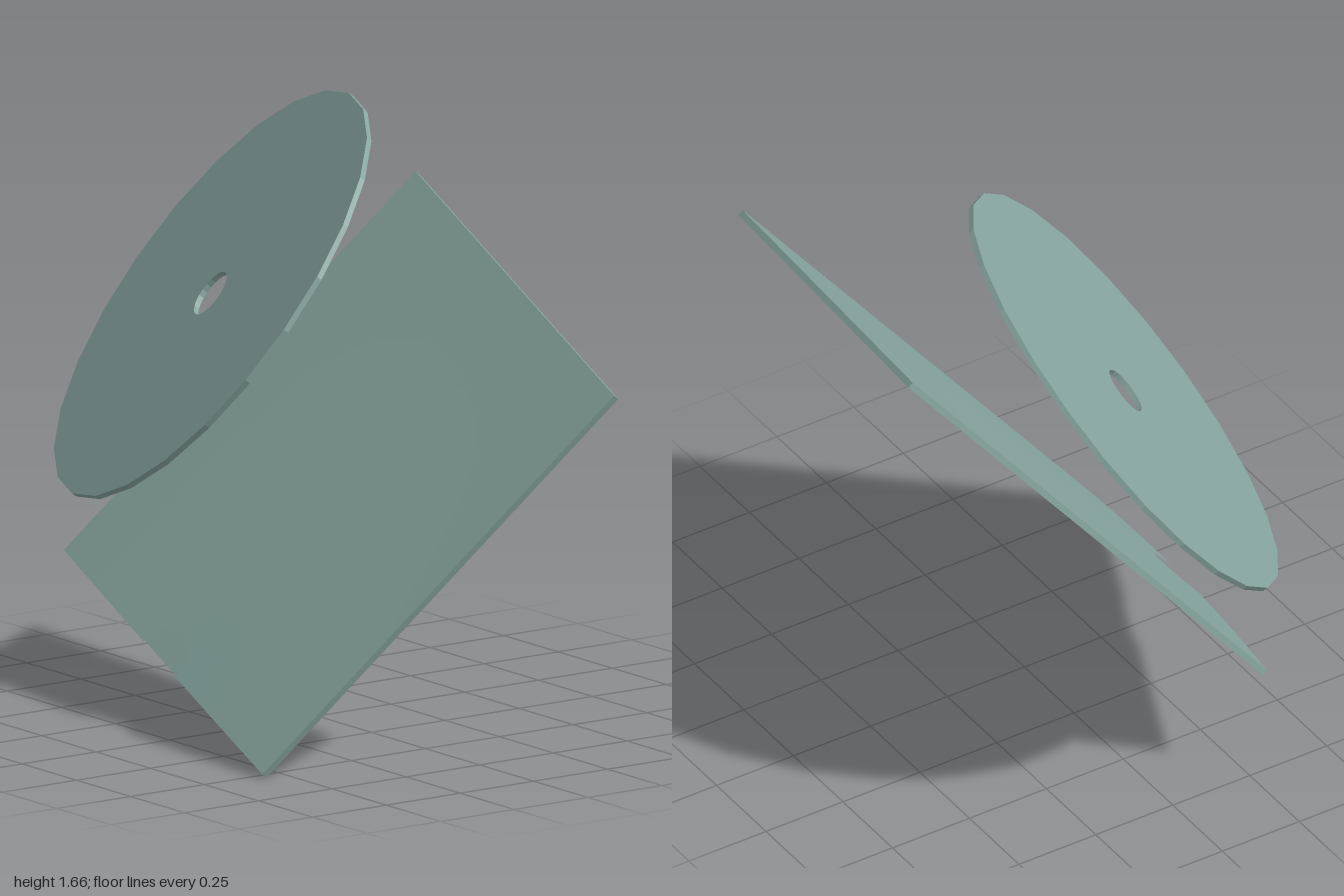
import * as THREE from 'three';

const W = 1.387, H = 1.416, DEPTH = 0.018, SHEET = 0.004;
const NOTCH = 0.11, BOW = 0.016;

// Orient an object so its local x runs along xDir and its local z along normal
function place(object, centre, xDir, normal) {
  const z = new THREE.Vector3(...normal).normalize();
  const x = new THREE.Vector3(...xDir).projectOnPlane(z).normalize();
  const y = new THREE.Vector3().crossVectors(z, x);
  object.quaternion.setFromRotationMatrix(new THREE.Matrix4().makeBasis(x, y, z));
  object.position.set(...centre);
}

function ring(radius, sides, Type) {
  const path = new Type();
  path.setFromPoints(Array.from({ length: sides }, (_, i) => {
    const a = (i / sides) * Math.PI * 2;
    return new THREE.Vector2(radius * Math.cos(a), radius * Math.sin(a));
  }));
  path.closePath();
  return path;
}

// Front sheet: columns follow the thumb notch, and the open mouth bulges slightly
function frontSheetGeometry() {
  const xs = [];
  const sideCols = 8, notchCols = 20, rows = 10;
  for (let i = 0; i < sideCols; i++) xs.push(-W / 2 + (i / sideCols) * (W / 2 - NOTCH));
  for (let i = 0; i <= notchCols; i++) xs.push(-NOTCH * Math.cos((i / notchCols) * Math.PI));
  for (let i = 1; i <= sideCols; i++) xs.push(NOTCH + (i / sideCols) * (W / 2 - NOTCH));

  const geometry = new THREE.PlaneGeometry(1, 1, xs.length - 1, rows);
  const pos = geometry.attributes.position;
  for (let i = 0; i < pos.count; i++) {
    const x = xs[i % xs.length];
    const t = pos.getY(i) + 0.5;
    const cut = Math.sqrt(Math.max(0, NOTCH * NOTCH - x * x));
    const v = cut + t * (H - cut);
    const bulge = BOW * Math.cos((Math.PI * x) / W) * (1 - v / H) ** 2;
    pos.setXYZ(i, x, v - H / 2, DEPTH / 2 + bulge);
  }
  geometry.computeVertexNormals();
  return geometry;
}

export function createModel() {
  const model = new THREE.Group();
  model.name = 'discAndSleeve';
  const grey = new THREE.MeshStandardMaterial({ color: 0x86a4a0, side: THREE.DoubleSide });
  grey.name = 'greyGreen';

  // Sleeve, open along its lower edge
  const sleeve = new THREE.Group();
  sleeve.name = 'sleeve';
  const add = (name, geometry, x = 0, y = 0, z = 0) => {
    const mesh = new THREE.Mesh(geometry, grey);
    mesh.name = name;
    mesh.position.set(x, y, z);
    sleeve.add(mesh);
  };
  add('sleeveBack', new THREE.BoxGeometry(W, H, SHEET), 0, 0, (SHEET - DEPTH) / 2);
  add('sleeveFront', frontSheetGeometry());
  for (const s of [-1, 1]) {
    add(s > 0 ? 'sleeveLeftEdge' : 'sleeveRightEdge',
      new THREE.BoxGeometry(SHEET, H, DEPTH), s * (W - SHEET) / 2);
  }
  add('sleeveTopEdge', new THREE.BoxGeometry(W, SHEET, DEPTH), 0, (H - SHEET) / 2);
  place(sleeve, [0.11, 0.7, 0], [1.31, -0.35, 0.29], [0, 0.637, 0.771]);
  model.add(sleeve);

  // Floating disc with a centre hole
  const shape = ring(0.666, 24, THREE.Shape);
  shape.holes.push(ring(0.07, 24, THREE.Path));
  const discGeometry = new THREE.ExtrudeGeometry(shape, { depth: 0.016, bevelEnabled: false });
  discGeometry.translate(0, 0, -0.008);
  const disc = new THREE.Mesh(discGeometry, grey);
  disc.name = 'disc';
  place(disc, [-0.36, 1.13, 0.09], [0.1, 0.53, -0.397], [-0.29, 0.61, 0.737]);
  model.add(disc);

  return model;
}
